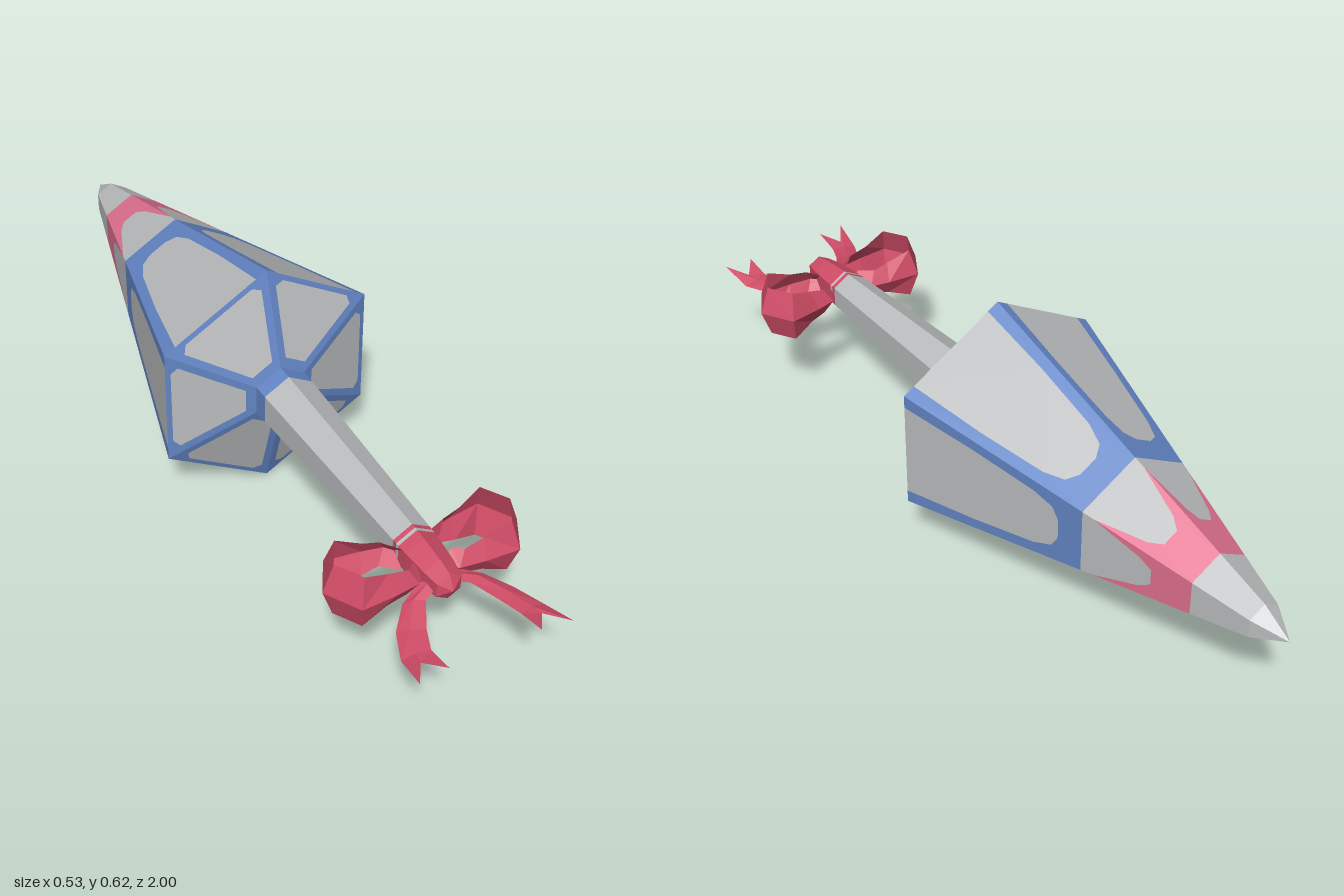
import * as THREE from 'three';
import { mergeGeometries } from 'three/addons/utils/BufferGeometryUtils.js';

const CY = 0.31;               // height of the long axis
const TAN30 = Math.tan(Math.PI / 6);

const mat = (name, color, extra = {}) => {
  const m = new THREE.MeshStandardMaterial({ color, ...extra });
  m.name = name;
  return m;
};

// Symmetric outline from half-widths: [[s, t], ...] on the +s side, then mirrored back
const mirrored = (half) => [
  ...half,
  ...half.slice().reverse().filter(([s]) => s > 0).map(([s, t]) => [-s, t]),
];
const vecs = (pts) => pts.map(([s, t]) => new THREE.Vector2(s, t));

// Repeats a flat outline (s across, t along the axis) on the six sides of a hexagonal cone
function sixFacets(points, cone, hole) {
  const shape = new THREE.Shape(vecs(points));
  if (hole) shape.holes.push(new THREE.Path(vecs(hole)));
  const parts = [];
  for (let i = 0; i < 6; i++) {
    const a = (i * Math.PI) / 3, c = Math.cos(a), n = Math.sin(a);
    const g = new THREE.ShapeGeometry(shape);
    const p = g.attributes.position;
    for (let k = 0; k < p.count; k++) {
      const t = p.getY(k);
      const s = p.getX(k) * Math.sign(cone.dz);
      const r = cone.r0 + cone.dr * t;
      p.setXYZ(k, c * r - n * s, CY + n * r + c * s, cone.z0 + cone.dz * t);
    }
    g.computeVertexNormals();
    parts.push(g);
  }
  return mergeGeometries(parts);
}

// Surface through rows of points, all rows having the same length
function strip(rows) {
  const w = rows[0].length, index = [];
  for (let i = 0; i < rows.length - 1; i++) {
    for (let j = 0; j < w - 1; j++) {
      const a = i * w + j;
      index.push(a, a + 1, a + w, a + 1, a + w + 1, a + w);
    }
  }
  const g = new THREE.BufferGeometry();
  g.setAttribute('position', new THREE.Float32BufferAttribute(rows.flat(2), 3));
  g.setIndex(index);
  const flat = g.toNonIndexed();
  flat.computeVertexNormals();
  return flat;
}

export function createModel() {
  const group = new THREE.Group();
  const grey = mat('grey', 0xbcbdbf);
  const blue = mat('blue', 0x6386c6);
  const pink = mat('pink', 0xe0718f);
  const red = mat('ribbonRed', 0xd04c66, { side: THREE.DoubleSide, flatShading: true });
  const add = (name, geometry, material, parent = group) => {
    const m = new THREE.Mesh(geometry, material);
    m.name = name;
    parent.add(m);
    return m;
  };

  // Closed canopy, tapering towards -z
  const body = { r0: 0.267, dr: -0.2464, z0: 0, dz: -1 };
  const edge = (t) => [(body.r0 + body.dr * t) * TAN30, t];
  const panel = [[0.122, 0], [0.1, 0.2], [0.074, 0.37], [0.055, 0.42], [0.025, 0.437]];
  const arch = [edge(0.53), [0.056, 0.6], [0.04, 0.65], [0.02, 0.68]];
  const back = (half) => mirrored(half).reverse();
  add('canopyBorder', sixFacets([...mirrored([edge(0), edge(0.5)]), ...back(panel)], body), blue);
  add('canopyPanels', sixFacets(mirrored(panel), body), grey);
  add('canopyBand', sixFacets(mirrored([edge(0.5), ...arch]), body), grey);
  add('canopyPinkBand', sixFacets([...mirrored([edge(0.53), edge(0.78)]), ...back(arch).slice(1, -1)], body), pink);
  add('canopyNose', sixFacets(mirrored([edge(0.78), edge(0.92)]), body), grey);
  const rTip = body.r0 + body.dr * 0.92;
  const tip = { r0: rTip, dr: -rTip, z0: -0.92, dz: -0.08 };
  add('canopyTip', sixFacets(mirrored([[rTip * TAN30, 0], [0, 1]]), tip), grey);

  // Shallow cone closing the canopy around the handle
  const base = { r0: 0.267, dr: -0.203, z0: 0, dz: 0.07 };
  const basePanel = mirrored([[0.1, 0.06], [0.116, 0.14], [0.03, 0.88]]);
  const baseOutline = mirrored([[0.267 * TAN30, 0], [0.064 * TAN30, 1]]);
  add('baseBorder', sixFacets(baseOutline, base, basePanel), blue);
  add('basePanels', sixFacets(basePanel, base), grey);

  // Hexagonal handle and collar
  const rod = (name, z0, z1, r0, r1, material) => {
    const g = new THREE.CylinderGeometry(r1, r0, z1 - z0, 6).toNonIndexed();
    g.rotateX(Math.PI / 2).translate(0, CY, (z0 + z1) / 2);
    g.computeVertexNormals();
    add(name, g, material);
  };
  rod('collar', 0.06, 0.11, 0.074, 0.073, blue);
  rod('handle', 0.11, 0.68, 0.073, 0.052, grey);

  // Bow: pointed knot on the end of the handle
  const bow = new THREE.Group();
  bow.name = 'bow';
  group.add(bow);
  const knot = new THREE.LatheGeometry(
    vecs([[0.053, 0.66], [0.05, 0.71], [0.043, 0.77], [0.035, 0.81], [0, 0.828]]), 6);
  knot.rotateX(Math.PI / 2).translate(0, CY, 0);
  add('knot', knot, red, bow);

  // Loops: [x, z, half height] along the ribbon, its rims set in towards the middle
  const loop = [
    [0.025, 0.69, 0.03], [0.06, 0.645, 0.035], [0.11, 0.634, 0.046], [0.195, 0.622, 0.07],
    [0.243, 0.705, 0.07], [0.195, 0.788, 0.07], [0.11, 0.784, 0.046], [0.05, 0.776, 0.035],
    [0.025, 0.75, 0.03],
  ];
  // Tails: outer, middle and inner [x, y, z], ending in a notch
  const tail = [
    [[0.045, 0.305, 0.765], [0.03, 0.31, 0.78], [0.015, 0.305, 0.795]],
    [[0.1, 0.285, 0.79], [0.08, 0.297, 0.8], [0.055, 0.295, 0.81]],
    [[0.145, 0.268, 0.84], [0.12, 0.28, 0.855], [0.09, 0.28, 0.87]],
    [[0.175, 0.265, 0.91], [0.143, 0.274, 0.912], [0.11, 0.275, 0.92]],
    [[0.186, 0.288, 0.998], [0.148, 0.276, 0.94], [0.112, 0.29, 0.99]],
  ];
  for (const [side, sx] of [['left', 1], ['right', -1]]) {
    const loopRows = loop.map(([x, z, h]) => {
      const dx = 0.14 - x, dz = 0.705 - z, k = 0.025 / Math.hypot(dx, dz);
      return [1, 0, -1].map((v) => {
        const inset = Math.abs(v) * k;
        return [sx * (x + dx * inset), CY + v * h, z + dz * inset];
      });
    });
    add(side + 'Loop', strip(loopRows), red, bow);
    add(side + 'Tail', strip(tail.map((row) => row.map(([x, y, z]) => [sx * x, y, z]))), red, bow);
  }
  return group;
}
